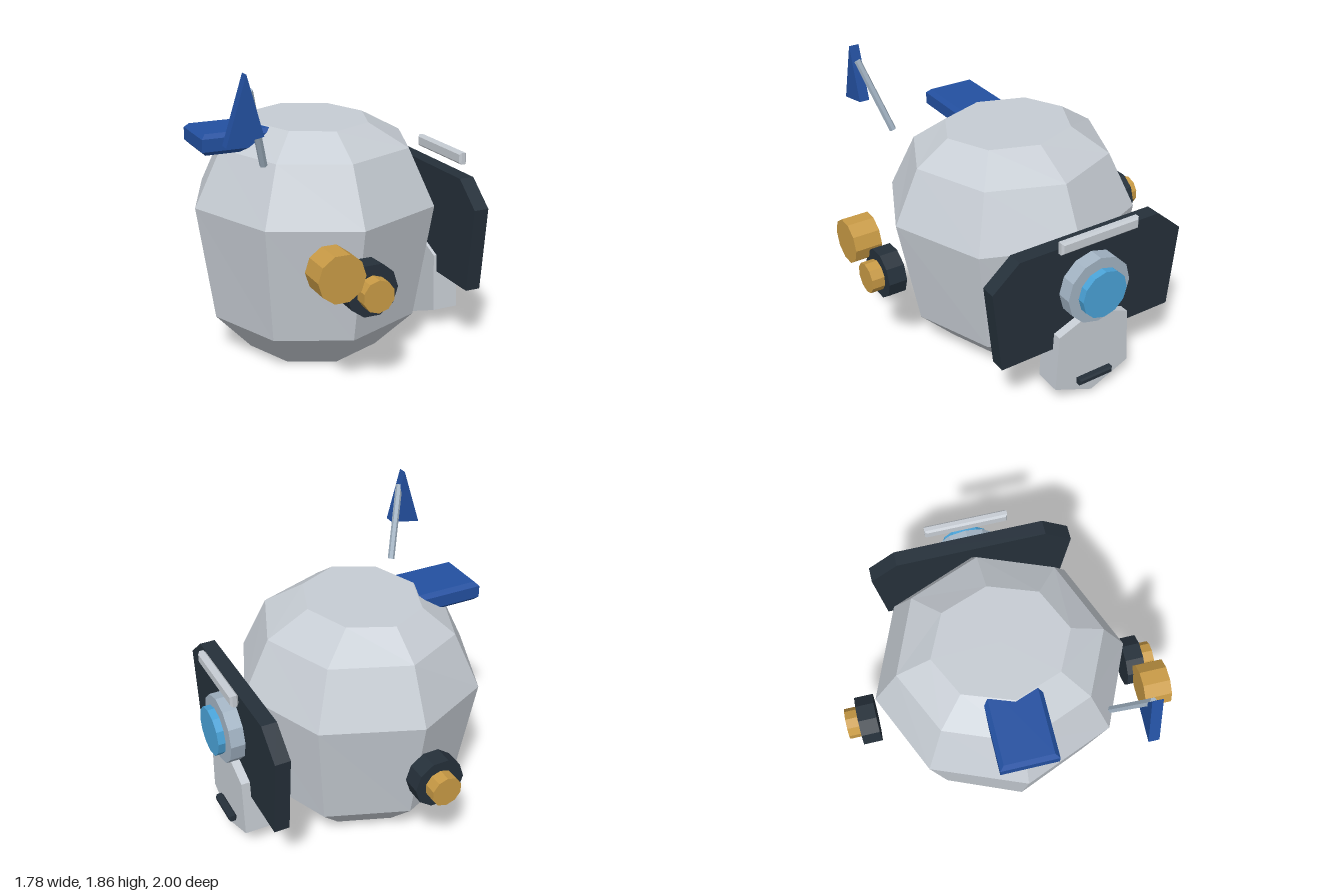
import * as THREE from 'three';

const paint = (name, color) => {
  const m = new THREE.MeshStandardMaterial({ color, flatShading: true });
  m.name = name;
  return m;
};

export function createModel() {
  const group = new THREE.Group();
  const shell = paint('pale grey', 0xc6ccd3);
  const steel = paint('steel grey', 0xa3b4c4);
  const dark = paint('dark slate', 0x25303a);
  const gold = paint('gold', 0xc89a45);
  const blue = paint('deep blue', 0x2350a0);
  const glass = paint('lens blue', 0x4aa3d8);

  const add = (name, geo, mat, x = 0, y = 0, z = 0) => {
    const mesh = new THREE.Mesh(geo, mat);
    mesh.name = name;
    mesh.position.set(x, y, z);
    group.add(mesh);
    return mesh;
  };
  // prism from an outline, with an optional chamfer kept inside the given size
  const prism = (pts, depth, bevel = 0) => new THREE.ExtrudeGeometry(
    new THREE.Shape(pts.map(p => new THREE.Vector2(...p))),
    { depth: depth - 2 * bevel, bevelEnabled: bevel > 0, bevelThickness: bevel,
      bevelSize: bevel, bevelOffset: -bevel, bevelSegments: 1 }).translate(0, 0, bevel);
  const rect = (w, h) => [[-w / 2, -h / 2], [w / 2, -h / 2], [w / 2, h / 2], [-w / 2, h / 2]];
  const mirrored = half => [...half, ...half.map(([u, v]) => [-u, v]).reverse()];

  // faceted head: octagonal rings [y, centre x, radius x, radius z]
  const rings = [[0, -0.11, 0.42, 0.42], [0.24, -0.1, 0.65, 0.65], [0.95, -0.1, 0.755, 0.78],
    [1.29, -0.1, 0.59, 0.62], [1.43, -0.125, 0.355, 0.41]];
  const point = (r, i) => {
    const [y, cx, rx, rz] = rings[r];
    const a = i * Math.PI / 4;
    const x = i % 4 === 2 ? -0.135 : cx + rx * Math.cos(a);
    return [x, y, rz * Math.sin(a)];
  };
  const pos = [];
  const top = rings.length - 1;
  for (let i = 0; i < 8; i++) {
    for (let r = 0; r < top; r++) {
      const [a, b, c, d] = [point(r, i), point(r + 1, i), point(r + 1, i + 1), point(r, i + 1)];
      pos.push(...a, ...b, ...c, ...a, ...c, ...d);
    }
    pos.push(-0.11, 0, 0, ...point(0, i), ...point(0, i + 1));
    pos.push(-0.125, 1.43, 0, ...point(top, i + 1), ...point(top, i));
  }
  const headGeo = new THREE.BufferGeometry();
  headGeo.setAttribute('position', new THREE.Float32BufferAttribute(pos, 3));
  headGeo.computeVertexNormals();
  add('head', headGeo, shell);

  // face parts, extruded along +x
  const facing = (pts, depth, bevel) => prism(pts, depth, bevel).rotateY(Math.PI / 2);
  add('facePlate', facing(mirrored([[0.6, 0.39], [0.655, 0.92], [0.48, 1.07]]), 0.095), dark, 0.65);
  add('jaw', facing([[0, 0.015], [0.265, 0.13], [0.245, 0.5], [0, 0.6], [-0.245, 0.5], [-0.265, 0.13]], 0.17),
    shell, 0.63);
  add('mouthSlot', facing(rect(0.24, 0.042), 0.05, 0.01), dark, 0.8, 0.145, 0);
  add('browBar', facing(rect(0.53, 0.075), 0.05, 0.012), shell, 0.785, 1.122, 0);

  // eye
  const disc = (r, len) => new THREE.CylinderGeometry(r, r, len, 12).rotateZ(Math.PI / 2);
  add('eyeRing', disc(0.215, 0.1), steel, 0.785, 0.765, 0);
  add('eyeLens', disc(0.153, 0.045), glass, 0.8675, 0.765, 0);

  // side knobs along z
  const knob = (r, len, turn) =>
    new THREE.CylinderGeometry(r, r, len, 10).rotateY(turn).rotateX(Math.PI / 2);
  for (const [side, z] of [[1, 0.795], [-1, 0.805]]) {
    add('earBase', knob(0.157, 0.115, Math.PI / 10), dark, -0.155, 0.655, side * (z + 0.0575));
    add('earCap', knob(0.096, 0.08, 0), gold, -0.155, 0.65, side * (z + 0.155));
  }
  add('largeKnob', knob(0.14, 0.17, Math.PI / 10), gold, -0.38, 0.793, 0.915);

  // chamfered brim
  add('brim', prism(rect(0.55, 0.34), 0.125, 0.025).rotateX(-Math.PI / 2), blue, -0.575, 1.3, -0.005);

  // antenna rod with a triangular pennant
  const from = new THREE.Vector3(-0.625, 1.32, 0.525);
  const to = new THREE.Vector3(-0.752, 1.765, 0.668);
  const dir = to.clone().sub(from);
  const rod = add('antennaRod', new THREE.CylinderGeometry(0.022, 0.022, dir.length(), 6), steel);
  rod.position.copy(from).add(to).multiplyScalar(0.5);
  rod.quaternion.setFromUnitVectors(new THREE.Vector3(0, 1, 0), dir.normalize());
  add('pennant', prism([[-0.775, 1.855], [-0.893, 1.485], [-0.685, 1.525]], 0.062), blue, 0, 0, 0.64);

  return group;
}
